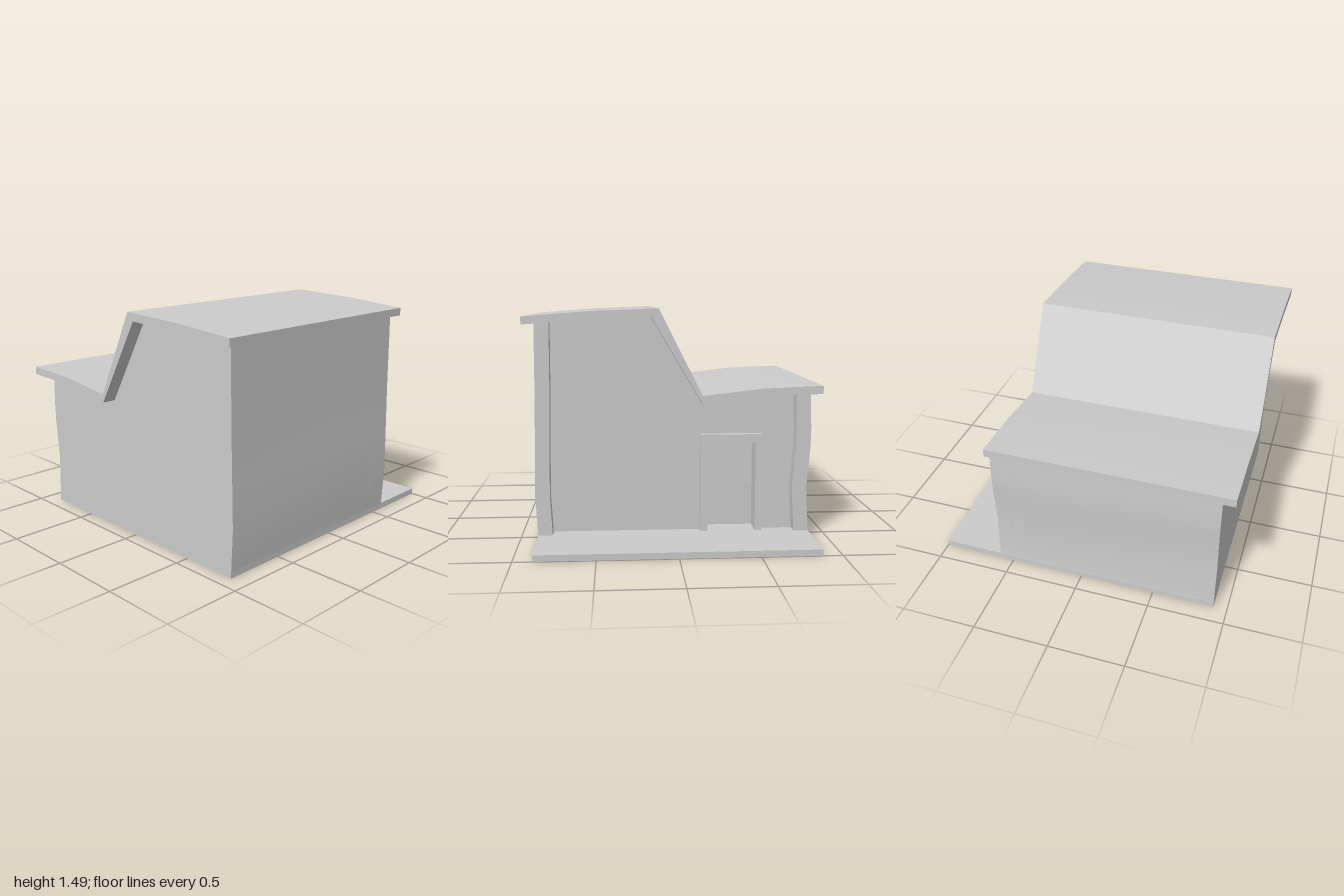
import * as THREE from 'three';
import { toCreasedNormals } from 'three/addons/utils/BufferGeometryUtils.js';

const material = new THREE.MeshStandardMaterial({ color: 0xcccccc });

// Extrudes a [z, y] outline along x, from x0 to x1.
function prism(name, outline, x0, x1) {
  const shape = new THREE.Shape(outline.map(([z, y]) => new THREE.Vector2(-z, y)));
  const geometry = new THREE.ExtrudeGeometry(shape, { depth: x1 - x0, bevelEnabled: false });
  geometry.rotateY(Math.PI / 2).translate(x0, 0, 0);
  const mesh = new THREE.Mesh(toCreasedNormals(geometry, 0.5), material);
  mesh.name = name;
  return mesh;
}

export function createModel() {
  const group = new THREE.Group();
  group.name = 'house';
  const floor = 0.04;
  const wallX = 0.51, wingX = 0.595, doorX = 0.41, backX = -0.91;

  // Roof profile, front eave to back eave
  const roofTop = [[0.96, 1.44], [0.55, 1.472], [0.1, 1.49], [-0.18, 0.935], [-0.57, 0.98], [-0.96, 0.995]];
  const roofUnder = [[0.96, 1.39], [0.56, 1.422], [0.15, 1.438], [-0.18, 0.88], [-0.6, 0.93], [-0.96, 0.942]];

  // Slightly bowed outer walls, bottom to top
  const frontWall = [[0.88, floor], [0.894, 0.3], [0.89, 0.55], [0.883, 0.9], [0.88, 1.396]];
  const backWall = [[-0.876, floor], [-0.86, 0.33], [-0.882, 0.6], [-0.884, 0.72], [-0.876, 0.939]];
  const hull = [...frontWall, ...roofUnder.slice(1, 5), ...[...backWall].reverse()];

  // Doorway
  const door = [[-0.53, floor], [-0.53, 0.625], [-0.22, 0.625], [-0.22, floor]];
  const frame = [[-0.17, floor], [-0.17, 0.68], [-0.575, 0.68], [-0.575, floor], ...door];

  const base = new THREE.Mesh(new THREE.BoxGeometry(1 - backX, floor, 1.758), material);
  base.position.set((1 + backX) / 2, floor / 2, 0);
  base.name = 'porchSlab';

  // Wing walls shelter the recessed door side
  const wing = (name, wall, inset) => {
    const inner = wall.map(([z, y]) => [z + inset, y + (y > 0.9 ? 0.006 : 0)]);
    return prism(name, [...wall, ...inner.reverse()], wallX, wingX);
  };

  group.add(
    base,
    prism('houseBody', hull, backX, doorX),
    prism('doorWall', [...hull, ...door], doorX, wallX),
    prism('doorFrame', frame, wallX, 0.56),
    wing('frontWingWall', frontWall, -0.093),
    wing('backWingWall', backWall, 0.095),
    prism('roof', [...roofTop, ...[...roofUnder].reverse()], -1, 0.59),
  );
  return group;
}
